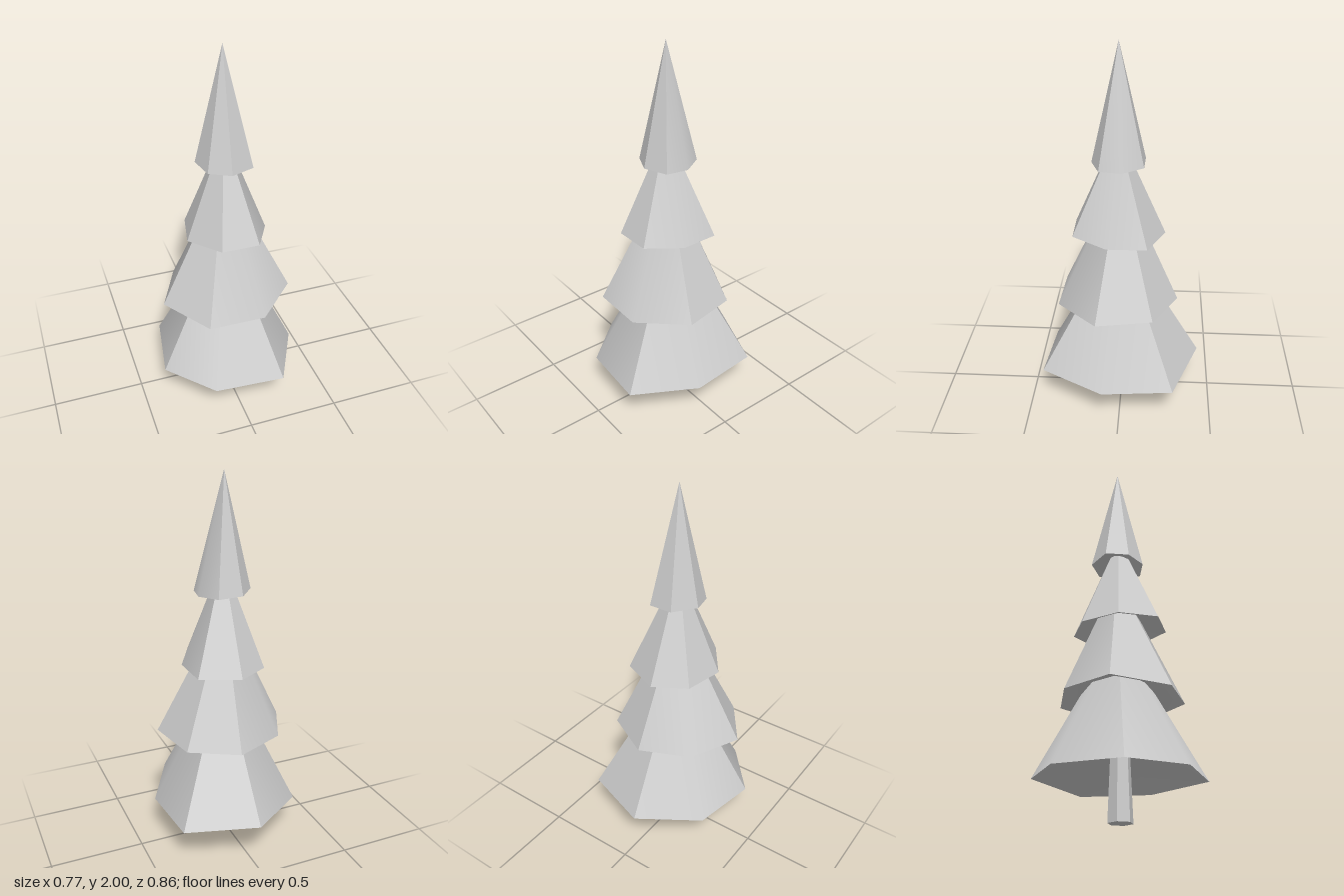
import * as THREE from 'three';
import { toCreasedNormals } from 'three/addons/utils/BufferGeometryUtils.js';

const CREASE = 0.73;

// Irregular cone of foliage: hem corners [x, y, z], a tip, and a hollowed underside
function tierGeometry(hem, tip, hollow) {
  const pos = [];
  hem.forEach((a, i) => {
    const b = hem[(i + 1) % hem.length];
    pos.push(...b, ...a, ...tip);
    pos.push(...a, ...b, ...hollow);
  });
  const geo = new THREE.BufferGeometry();
  geo.setAttribute('position', new THREE.Float32BufferAttribute(pos, 3));
  return toCreasedNormals(geo, CREASE);
}

const TIERS = [
  {
    name: 'bottomBranches', tip: [0.01, 0.99, 0.01], hollow: [0, 0.38, 0.02],
    hem: [[-0.02, 0.235, -0.43], [0.355, 0.215, -0.29], [0.385, 0.21, 0.09], [0.21, 0.22, 0.425],
      [-0.165, 0.215, 0.395], [-0.385, 0.21, 0.145], [-0.325, 0.22, -0.215]],
  },
  {
    name: 'lowerBranches', tip: [0, 1.32, 0.01], hollow: [0, 0.74, 0.01],
    hem: [[0.035, 0.61, -0.305], [0.285, 0.615, -0.175], [0.345, 0.62, 0.12], [0.125, 0.605, 0.335],
      [-0.175, 0.6, 0.325], [-0.355, 0.615, 0.07], [-0.23, 0.615, -0.195]],
  },
  {
    name: 'upperBranches', tip: [0, 1.56, 0.02], hollow: [0, 1.1, 0.015],
    hem: [[0, 0.995, -0.23], [0.205, 0.995, -0.14], [0.215, 1.0, 0.07], [0.115, 1.015, 0.25],
      [-0.085, 1.015, 0.25], [-0.215, 1.0, 0.075], [-0.17, 0.995, -0.13]],
  },
  {
    name: 'treeTop', tip: [-0.005, 2, 0.015], hollow: [0, 1.45, 0.015],
    hem: [[-0.05, 1.395, -0.12], [0.08, 1.39, -0.115], [0.145, 1.385, -0.005], [0.125, 1.385, 0.11],
      [0, 1.385, 0.155], [-0.11, 1.39, 0.105], [-0.14, 1.4, -0.015]],
  },
];

export function createModel() {
  const tree = new THREE.Group();
  tree.name = 'pineTree';
  const grey = new THREE.MeshStandardMaterial({ color: 0xcccccc });
  grey.name = 'lightGrey';

  const add = (name, geo) => {
    const mesh = new THREE.Mesh(geo, grey);
    mesh.name = name;
    tree.add(mesh);
    return mesh;
  };

  // Stacked foliage tiers
  for (const { name, hem, tip, hollow } of TIERS) add(name, tierGeometry(hem, tip, hollow));

  // Six-sided trunk with corners toward +x and -x, reaching up into the foliage
  const trunk = new THREE.CylinderGeometry(0.048, 0.064, 0.4, 6);
  trunk.rotateY(Math.PI / 6);
  add('trunk', toCreasedNormals(trunk, CREASE)).position.set(0.003, 0.2, 0.024);

  return tree;
}
